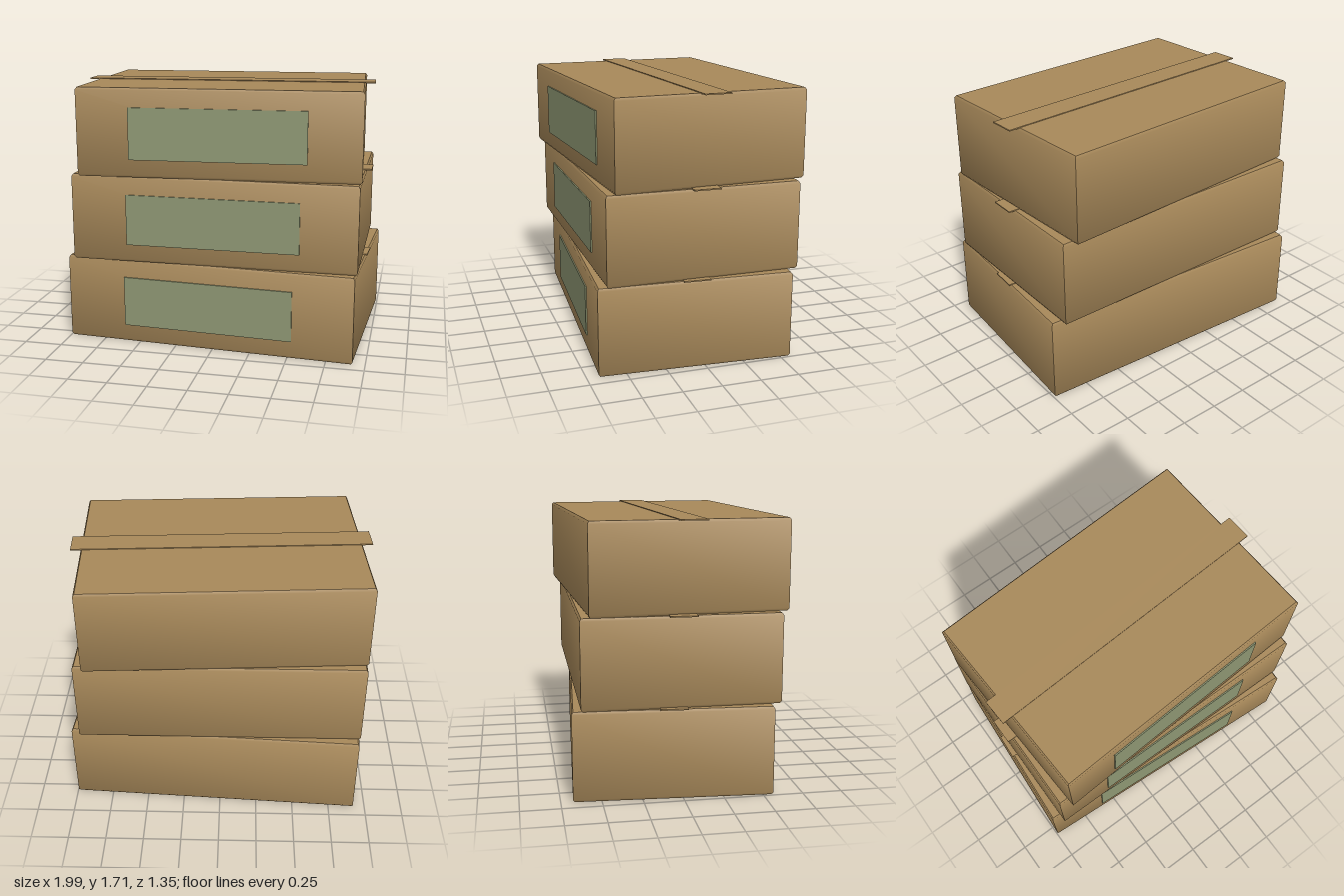
import * as THREE from 'three';
import { toCreasedNormals } from 'three/addons/utils/BufferGeometryUtils.js';

const cardboard = new THREE.MeshStandardMaterial({ color: 0xa8895a });
cardboard.name = 'cardboard brown';
const labelGreen = new THREE.MeshStandardMaterial({ color: 0x8f9874 });
labelGreen.name = 'label green';

const HEIGHT = 0.568, DEPTH = 1.24;

// Carton body: a rectangle extruded upward with softened top and bottom edges
function bodyGeometry(width) {
  const bevel = 0.016, inset = 0.01;
  const w = width / 2, d = DEPTH / 2;
  const outline = new THREE.Shape([
    new THREE.Vector2(-w, -d), new THREE.Vector2(w, -d),
    new THREE.Vector2(w, d), new THREE.Vector2(-w, d),
  ]);
  const geometry = new THREE.ExtrudeGeometry(outline, {
    depth: HEIGHT - 2 * bevel,
    bevelThickness: bevel, bevelSize: inset, bevelOffset: -inset, bevelSegments: 1,
  });
  geometry.rotateX(-Math.PI / 2).translate(0, bevel, 0);
  return toCreasedNormals(geometry, 0.7);
}

function addPart(group, name, geometry, material, x, y, z) {
  const mesh = new THREE.Mesh(geometry, material);
  mesh.name = name;
  mesh.position.set(x, y, z);
  group.add(mesh);
}

function createBox(name, width) {
  const box = new THREE.Group();
  box.name = name;
  addPart(box, 'boxBody', bodyGeometry(width), cardboard, 0, 0, 0);
  // Sealing strip, overhanging both ends of the lid
  addPart(box, 'sealingStrip', new THREE.BoxGeometry(1.93, 0.008, 0.17), cardboard, 0, HEIGHT + 0.001, 0);
  // Front label
  addPart(box, 'frontLabel', new THREE.BoxGeometry(1.13, 0.332, 0.009), labelGreen, 0, HEIGHT / 2 - 0.004, DEPTH / 2 + 0.004);
  return box;
}

export function createModel() {
  const model = new THREE.Group();
  model.name = 'stackedBoxes';
  // Each box is a little narrower and twisted against the one below
  [
    ['bottomBox', 1.918, -0.06],
    ['middleBox', 1.862, 0],
    ['topBox', 1.804, 0.06],
  ].forEach(([name, width, turn], i) => {
    const box = createBox(name, width);
    box.position.y = i * HEIGHT;
    box.rotation.y = turn;
    model.add(box);
  });
  return model;
}
